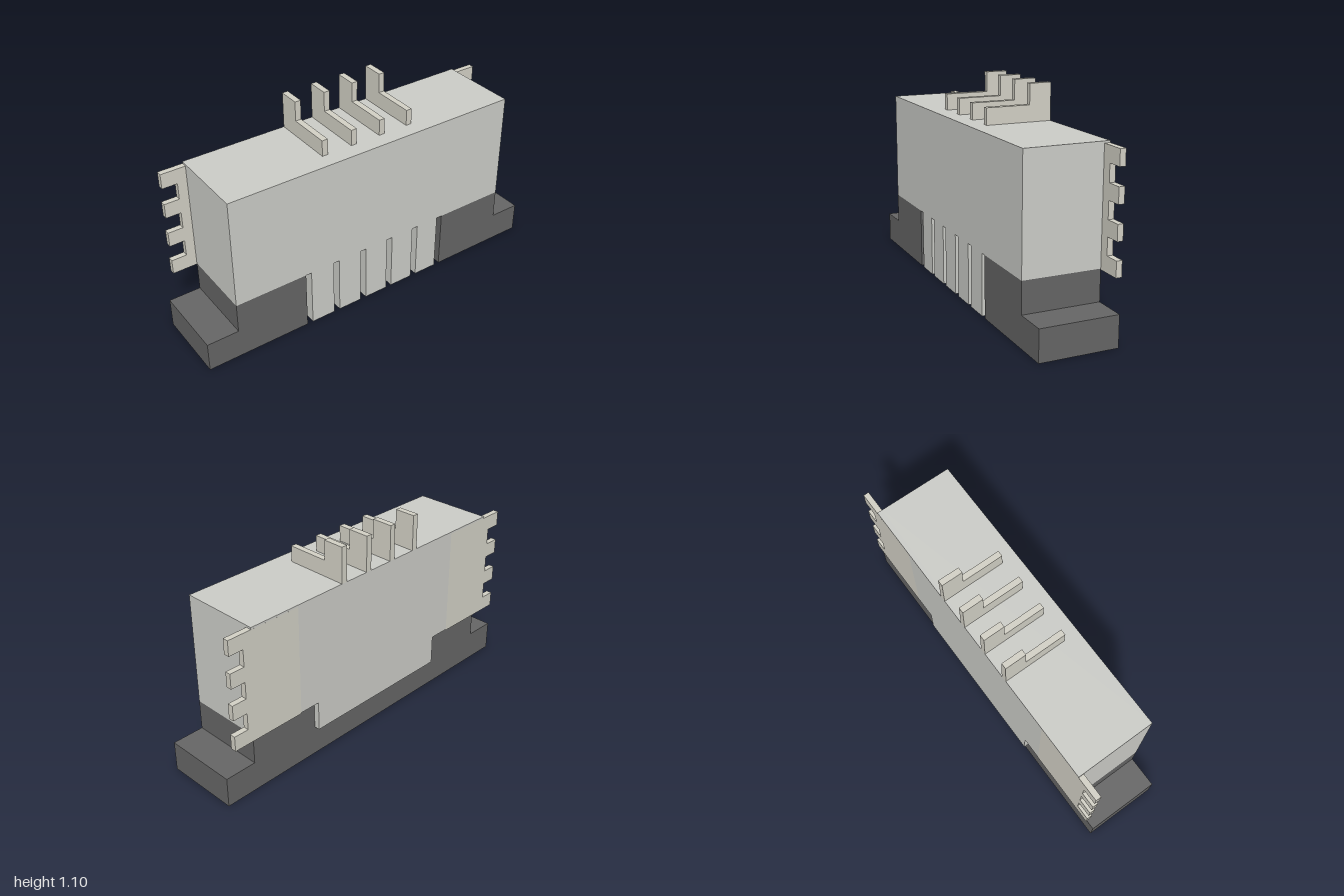
import * as THREE from 'three';

const lightMat = new THREE.MeshStandardMaterial({ color: 0xcbccc7 });
const metalMat = new THREE.MeshStandardMaterial({ color: 0xd2d0c5 });
const darkMat = new THREE.MeshStandardMaterial({ color: 0x656565 });

const BACK = -0.215, FRONT = 0.215, PLATE = -0.185; // z planes
const BASE_TOP = 0.32, STEP = 0.16, TOP = 0.91;

function add(parent, name, geometry, material) {
  const mesh = new THREE.Mesh(geometry, material);
  mesh.name = name;
  parent.add(mesh);
  return mesh;
}

// Box given by its limits on each axis
function block(x0, x1, y0, y1, z0, z1) {
  return new THREE.BoxGeometry(x1 - x0, y1 - y0, z1 - z0)
    .translate((x0 + x1) / 2, (y0 + y1) / 2, (z0 + z1) / 2);
}

// Outline in x and y, extruded from z0 to z1
function slab(points, z0, z1) {
  const shape = new THREE.Shape(points.map(([x, y]) => new THREE.Vector2(x, y)));
  return new THREE.ExtrudeGeometry(shape, { depth: z1 - z0, bevelEnabled: false }).translate(0, 0, z0);
}

export function createModel() {
  const model = new THREE.Group();
  model.name = 'connector';

  // Dark slider: stepped ends joined by a low bar behind the front opening
  const slider = new THREE.Group();
  slider.name = 'slider';
  model.add(slider);
  for (const s of [1, -1]) {
    const end = [[0.435, 0], [1, 0], [1, STEP], [0.83, STEP], [0.83, BASE_TOP], [0.435, BASE_TOP]];
    add(slider, s > 0 ? 'leftSliderEnd' : 'rightSliderEnd',
      slab(end.map(([x, y]) => [s * x, y]), PLATE, FRONT), darkMat);
  }
  add(slider, 'sliderBar', block(-0.435, 0.435, 0, STEP, PLATE, -0.05), darkMat);

  // Housing with a rear plate whose tongue hangs over the slider
  const housing = new THREE.Group();
  housing.name = 'housing';
  model.add(housing);
  add(housing, 'housingBody', block(-0.83, 0.83, BASE_TOP, TOP, PLATE, FRONT), lightMat);
  const half = [[0.435, STEP], [0.435, BASE_TOP], [0.55, BASE_TOP], [0.55, 0.9], [0.83, 0.9], [0.83, TOP]];
  const mirrored = half.map(([x, y]) => [-x, y]).reverse();
  add(housing, 'rearPlate', slab([...half, ...mirrored], BACK, PLATE), lightMat);

  // Five front teeth, separated by narrow gaps in line with the contacts
  const pitch = 0.168;
  for (let i = -2; i <= 2; i++) {
    const x = i * pitch;
    add(housing, 'frontTooth', block(x - 0.067, x + 0.067, 0, BASE_TOP, 0.125, FRONT), lightMat);
  }

  // Solder tabs with four fingers on each side
  for (const s of [1, -1]) {
    const outline = [[0.55, 0.315]];
    for (let i = 0; i < 4; i++) {
      const y = 0.315 + i * 0.1683;
      if (i > 0) outline.push([0.88, y]);
      outline.push([0.96, y], [0.96, y + 0.08]);
      if (i < 3) outline.push([0.88, y + 0.08]);
    }
    outline.push([0.55, 0.9]);
    add(model, s > 0 ? 'leftSolderTab' : 'rightSolderTab',
      slab(outline.map(([x, y]) => [s * x, y]), BACK, PLATE), metalMat);
  }

  // Stepped contacts on top: profile in z and y, extruded along x
  const profile = [[BACK, TOP], [0.13, TOP], [0.13, 0.995], [-0.1, 0.995], [-0.1, 1.1], [BACK, 1.1]];
  for (let i = 0; i < 4; i++) {
    const contact = slab(profile.map(([z, y]) => [-z, y]), -0.016, 0.016)
      .rotateY(Math.PI / 2).translate((i - 1.5) * pitch, 0, 0);
    add(model, 'contact', contact, metalMat);
  }

  return model;
}
